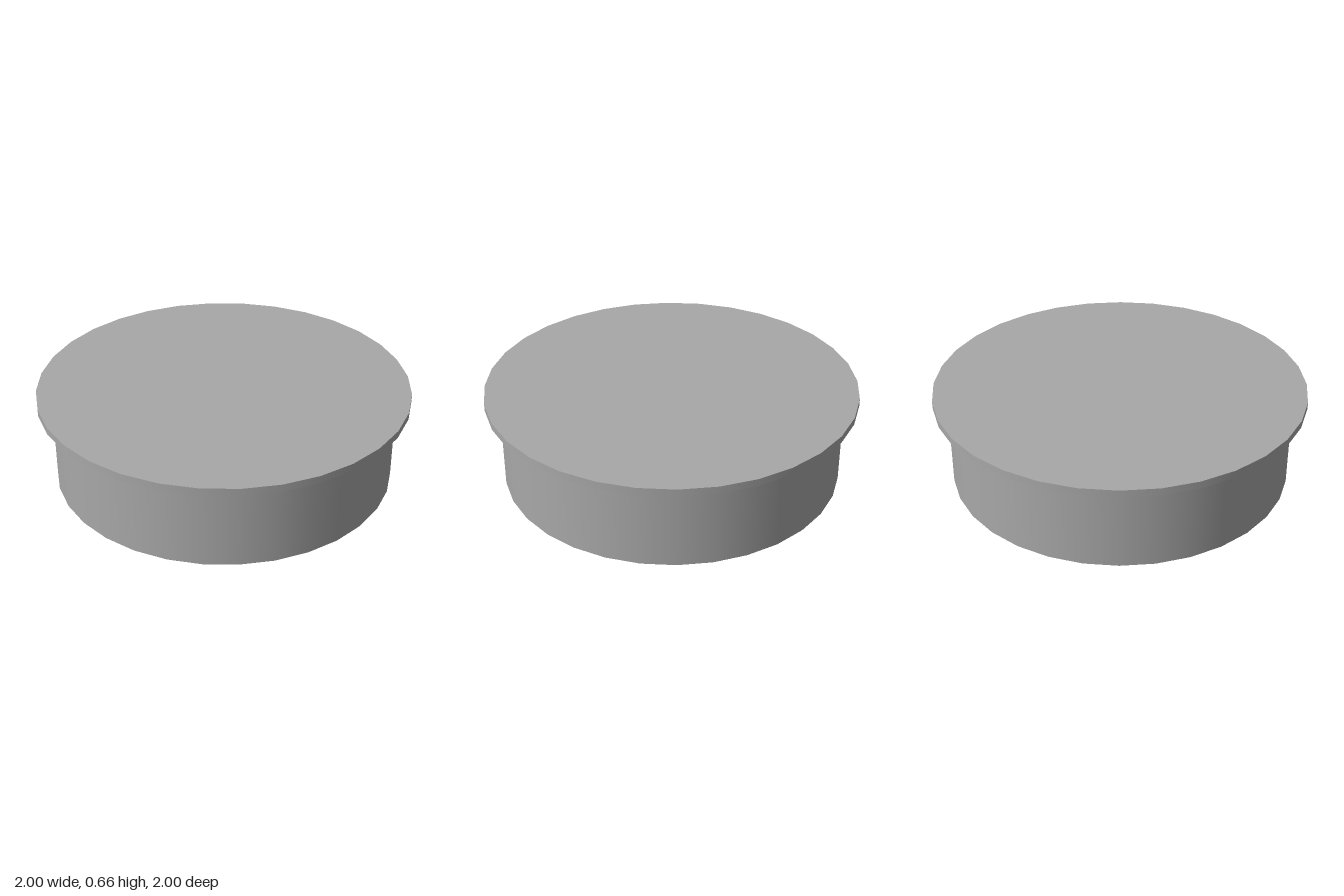
import * as THREE from 'three';

const SIDES = 32;

export function createModel() {
  const model = new THREE.Group();
  const grey = new THREE.MeshStandardMaterial({ color: 0xa8a8a8, side: THREE.DoubleSide });
  grey.name = 'grey';

  // Upright round part between two heights
  const addRound = (name, radius, bottom, top, open = false) => {
    const geometry = new THREE.CylinderGeometry(radius, radius, top - bottom, SIDES, 1, open);
    const mesh = new THREE.Mesh(geometry, grey);
    mesh.name = name;
    mesh.position.y = (bottom + top) / 2;
    model.add(mesh);
  };

  addRound('lid', 1, 0.62, 0.66);
  addRound('body', 0.922, 0.155, 0.62);
  // Thin foot ring, open underneath
  addRound('footRing', 0.713, 0, 0.155, true);

  return model;
}
